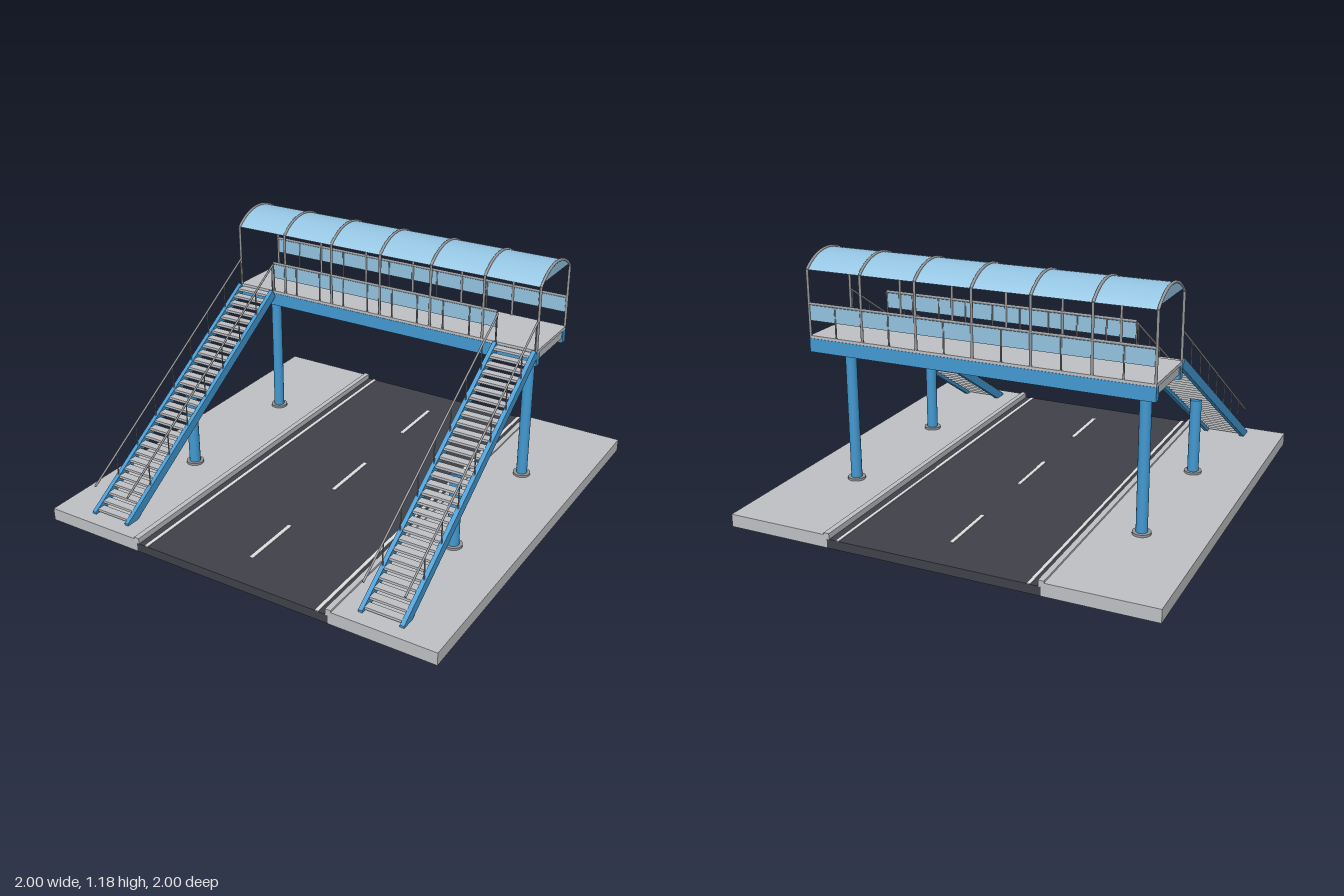
import * as THREE from 'three';

const mat = (name, color, side = THREE.FrontSide) => {
  const m = new THREE.MeshStandardMaterial({ color, side });
  m.name = name;
  return m;
};

export function createModel() {
  const model = new THREE.Group();
  model.name = 'footbridge';
  const concrete = mat('concrete', 0xbfc0c4);
  const asphalt = mat('asphalt', 0x40404a);
  const paint = mat('roadPaint', 0xdedede);
  const blue = mat('blueSteel', 0x4299d2);
  const steel = mat('greySteel', 0x94969a);
  const glass = mat('blueGlass', 0x93c3e0, THREE.DoubleSide);

  const add = (name, geo, material, parent = model) => {
    const mesh = new THREE.Mesh(geo, material);
    mesh.name = name;
    parent.add(mesh);
    return mesh;
  };
  // box given by its limits on each axis
  const box = (name, [x0, x1], [y0, y1], [z0, z1], material, parent) =>
    add(name, new THREE.BoxGeometry(x1 - x0, y1 - y0, z1 - z0), material, parent)
      .position.set((x0 + x1) / 2, (y0 + y1) / 2, (z0 + z1) / 2);
  // round bar between two points
  const bar = (name, a, b, r, material, parent, sides = 8) => {
    const p = new THREE.Vector3(...a), q = new THREE.Vector3(...b);
    const d = q.clone().sub(p);
    const mesh = add(name, new THREE.CylinderGeometry(r, r, d.length(), sides), material, parent);
    mesh.position.copy(p).add(q).multiplyScalar(0.5);
    mesh.quaternion.setFromUnitVectors(new THREE.Vector3(0, 1, 0), d.normalize());
  };
  // profile in (z, y) extruded along x, centred on x
  const sideExtrude = (name, pts, x, width, material, parent) => {
    const shape = new THREE.Shape(pts.map(([z, y]) => new THREE.Vector2(-z, y)));
    const geo = new THREE.ExtrudeGeometry(shape, { depth: width, bevelEnabled: false });
    geo.rotateY(Math.PI / 2).translate(x - width / 2, 0, 0);
    return add(name, geo, material, parent);
  };
  const column = (name, x, z, top, r) => {
    bar(name, [x, 0.06, z], [x, top, z], r, blue, model, 20);
    bar(name + 'Foot', [x, 0.06, z], [x, 0.071, z], 0.042, steel, model, 20);
  };

  // Street
  box('road', [-0.5, 0.5], [0, 0.042], [-1, 1], asphalt);
  for (const s of [-1, 1]) {
    const span = (a, b) => (s > 0 ? [a, b] : [-b, -a]);
    box('pavement', span(0.5, 1), [0, 0.06], [-1, 1], concrete);
    box('kerb', span(0.488, 0.514), [0.04, 0.069], [-1, 1], concrete);
    box('edgeLine', span(0.439, 0.455), [0.042, 0.045], [-1, 1], paint);
  }
  for (const z of [-0.66, 0.01, 0.68])
    box('centreDash', [-0.009, 0.009], [0.042, 0.045], [z - 0.15, z + 0.15], paint);

  // Deck
  const L = 0.815, zF = -0.262, zB = -0.592, zM = (zF + zB) / 2;
  box('deck', [-L, L], [0.785, 0.8], [zB - 0.003, zF + 0.003], concrete);
  box('deckCore', [-L + 0.004, L - 0.004], [0.748, 0.785], [zB + 0.03, zF - 0.03], concrete);
  box('frontBeam', [-L, L], [0.724, 0.787], [-0.29, -0.257], blue);
  box('backBeam', [-L, L], [0.724, 0.787], [-0.597, -0.564], blue);

  // Curved canopy
  const half = (zF - zB) / 2, eave = 1.1, sag = 0.069;
  const R = (half * half + sag * sag) / (2 * sag), half0 = Math.asin(half / R);
  const arc = (r, n = 20) => Array.from({ length: n + 1 }, (_, i) => {
    const a = half0 * (1 - 2 * i / n);
    return [zM + r * Math.sin(a), eave + sag - R + r * Math.cos(a)];
  });
  // roof sheet is a smooth strip, curved in z and y
  const sheet = new THREE.PlaneGeometry(2 * L - 0.01, 1, 1, 20);
  const pos = sheet.attributes.position;
  for (let i = 0; i < pos.count; i++) {
    const a = -2 * half0 * pos.getY(i);
    pos.setXYZ(i, pos.getX(i), eave + sag - R + R * Math.cos(a), zM + R * Math.sin(a));
  }
  sheet.computeVertexNormals();
  add('roofSheet', sheet, glass);
  for (const s of [-1, 1])
    sideExtrude('roofGable', arc(R - 0.001).map(([z, y]) => [z, y + 0.004]).concat([[zB, 1.108], [zF, 1.108]])
      .slice(1, -3), s * (L - 0.004), 0.004, glass);

  // Canopy hoops
  for (let i = 0; i < 7; i++) {
    const x = -L + 0.004 + (i * (2 * L - 0.008)) / 6;
    const hoop = new THREE.Group();
    hoop.name = 'canopyHoop';
    model.add(hoop);
    for (const z of [zF, zB]) bar('hoopPost', [x, 0.8, z], [x, eave + 0.003, z], 0.0065, steel, hoop);
    const curve = new THREE.CatmullRomCurve3(arc(R + 0.001).map(([z, y]) => new THREE.Vector3(x, y, z)));
    add('hoopArch', new THREE.TubeGeometry(curve, 24, 0.0065, 8), steel, hoop);
  }

  // Deck railings with glass band; the front one leaves the stair landings open
  for (const [name, z, h, n] of [['frontRailing', zF, 0.61, 9], ['backRailing', zB, L - 0.004, 12]]) {
    const g = new THREE.Group();
    g.name = name;
    model.add(g);
    bar('topRail', [-h, 0.947, z], [h, 0.947, z], 0.0065, steel, g);
    box('glassBand', [-h, h], [0.87, 0.941], [z - 0.002, z + 0.002], glass, g);
    for (let i = 0; i <= n; i++) {
      const x = -h + (2 * h * i) / n;
      bar('railPost', [x, 0.8, z], [x, 0.947, z], 0.004, steel, g, 6);
    }
  }

  // Stairs, one on each side
  const slope = 0.627, steps = 30;
  const topEdge = (z) => 0.07 + (0.936 - z) * slope;
  for (const s of [-1, 1]) {
    const stair = new THREE.Group();
    stair.name = s > 0 ? 'leftStair' : 'rightStair';
    model.add(stair);
    for (const x of [s * 0.615, s * 0.807]) {
      sideExtrude('stringer', [[0.936, 0.06], [0.936, 0.07], [-0.24, 0.807], [-0.262, 0.768], [0.868, 0.06]]
        , x, 0.02, blue, stair);
      bar('handrail', [x, 0.193, 0.914], [x, 0.938, -0.262], 0.005, steel, stair);
      for (let i = 0; i < 8; i++) {
        const z = 0.757 - i * 0.144;
        bar('handrailPost', [x, topEdge(z) - 0.02, z], [x, 0.193 + (0.914 - z) * 0.6335, z], 0.003, steel, stair, 6);
      }
    }
    const [x0, x1] = s > 0 ? [0.623, 0.799] : [-0.799, -0.623];
    for (let i = 0; i < steps; i++) {
      const z = 0.9 - i * 0.039, y = topEdge(z) - 0.018;
      box('tread', [x0, x1], [y - 0.006, y + 0.006], [z - 0.02, z + 0.02], concrete, stair);
    }
    column('stairColumn', s * 0.715, 0.31, 0.43, 0.027);
    column('deckColumn', s * 0.715, -0.425, 0.75, 0.026);
  }
  return model;
}
